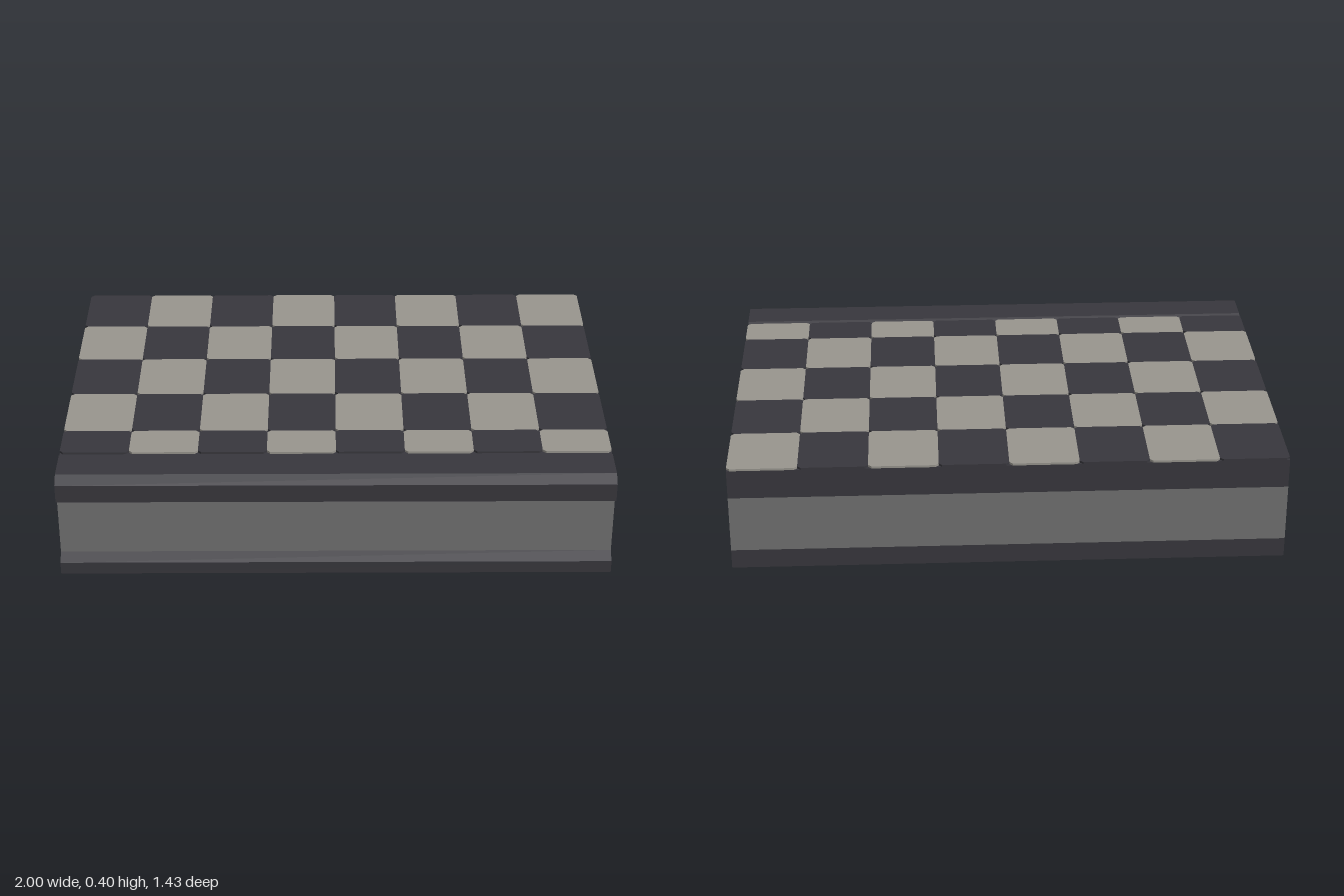
import * as THREE from 'three';

const mat = (name, color) => {
  const m = new THREE.MeshStandardMaterial({ color });
  m.name = name;
  return m;
};

// Extrudes a side profile of [z, y] points across the full width
function slab(name, points, material) {
  const shape = new THREE.Shape(points.map(([z, y]) => new THREE.Vector2(z, y)));
  const geo = new THREE.ExtrudeGeometry(shape, { depth: 2, bevelEnabled: false });
  geo.rotateY(-Math.PI / 2).translate(1, 0, 0);
  const mesh = new THREE.Mesh(geo, material);
  mesh.name = name;
  return mesh;
}

// Thin floor tile with small cut corners
function tile(x0, x1, z0, z1, y, height, material) {
  const c = 0.012;
  const corners = [
    [x0 + c, z0], [x1 - c, z0], [x1, z0 + c], [x1, z1 - c],
    [x1 - c, z1], [x0 + c, z1], [x0, z1 - c], [x0, z0 + c],
  ];
  const shape = new THREE.Shape(corners.map(([x, z]) => new THREE.Vector2(x, -z)));
  const geo = new THREE.ExtrudeGeometry(shape, { depth: height, bevelEnabled: false });
  geo.rotateX(-Math.PI / 2).translate(0, y, 0);
  return new THREE.Mesh(geo, material);
}

export function createModel() {
  const dark = mat('dark stone', 0x38373d);
  const light = mat('light tile', 0x98958e);
  const grey = mat('grey wall', 0x707070);
  const back = -0.713, front = 0.713, wall = 0.677;
  const group = new THREE.Group();
  group.name = 'checkeredFloorBlock';

  // Base plinth, wall and overhanging top with a front lip
  group.add(slab('basePlinth', [
    [back, 0], [front, 0], [front, 0.047], [wall, 0.072], [back, 0.072],
  ], dark));
  group.add(slab('wall', [
    [back, 0.072], [wall, 0.072], [wall, 0.285], [back, 0.285],
  ], grey));
  group.add(slab('topLip', [
    [back, 0.285], [wall, 0.285], [front, 0.307], [front, 0.376], [wall, 0.402],
    [0.548, 0.402], [0.535, 0.394], [back, 0.394],
  ], dark));

  // Checkered tiles, the front row cut short by the lip
  const tiles = new THREE.Group();
  tiles.name = 'floorTiles';
  const pitch = 0.272;
  for (let row = 0; row < 5; row++) {
    for (let col = 0; col < 8; col++) {
      const z0 = back + row * pitch;
      const z1 = Math.min(z0 + pitch, 0.527);
      const isLight = (row + col) % 2 === 1;
      const t = tile(-1 + col * 0.25, -0.75 + col * 0.25, z0, z1, 0.394, 0.008, isLight ? light : dark);
      t.name = isLight ? 'lightTile' : 'darkTile';
      tiles.add(t);
    }
  }
  group.add(tiles);
  return group;
}
